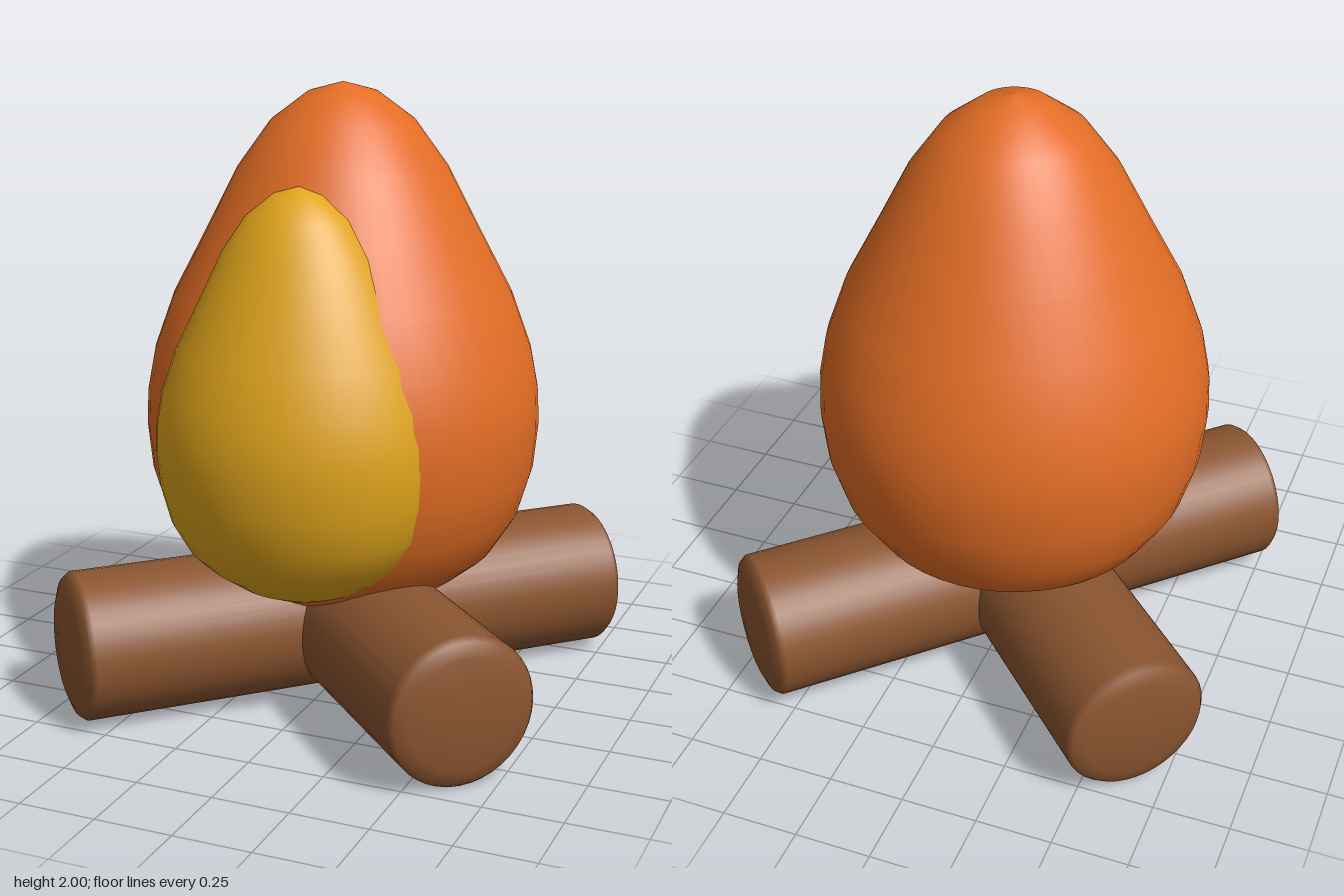
import * as THREE from 'three';

const material = (color) => new THREE.MeshStandardMaterial({ color });
const points = (list) => list.map(([r, y]) => new THREE.Vector2(r, y));

// Egg-shaped flame profile, from the base up to the tip
const FLAME = [
  [0, 0.27], [0.14, 0.285], [0.28, 0.335], [0.4, 0.405], [0.5, 0.485], [0.58, 0.61],
  [0.625, 0.76], [0.64, 0.91], [0.635, 1.02], [0.61, 1.15], [0.545, 1.33], [0.44, 1.53],
  [0.335, 1.735], [0.23, 1.88], [0.11, 1.97], [0, 2],
];

// Log profile along its axis, with softly domed ends
const R = 0.24;
const LOG_END = [[R, 0.915], [0.225, 0.935], [0.18, 0.952], [0.09, 0.963], [0, 0.966]];
const LOG = [...LOG_END.map(([r, y]) => [r, -y]).reverse(), ...LOG_END];

export function createModel() {
  const group = new THREE.Group();
  const add = (name, geometry, mat) => {
    const mesh = new THREE.Mesh(geometry, mat);
    mesh.name = name;
    group.add(mesh);
    return mesh;
  };

  // Two crossed logs
  const wood = material(0x8b5530);
  const logGeometry = new THREE.LatheGeometry(points(LOG), 40);
  logGeometry.rotateZ(Math.PI / 2);
  for (const side of [1, -1]) {
    const log = add(side > 0 ? 'logFrontLeft' : 'logFrontRight', logGeometry, wood);
    log.position.y = R;
    log.rotation.y = -side * Math.PI / 4;
  }

  // Large outer flame and the smaller one bulging from its front
  const flameGeometry = new THREE.LatheGeometry(points(FLAME), 48);
  add('outerFlame', flameGeometry, material(0xe36d25));
  const inner = add('innerFlame', flameGeometry, material(0xe0a51c));
  inner.scale.set(0.72, 0.76, 0.62);
  inner.position.set(0, 1.715 - 2 * 0.76, 0.35);

  return group;
}
